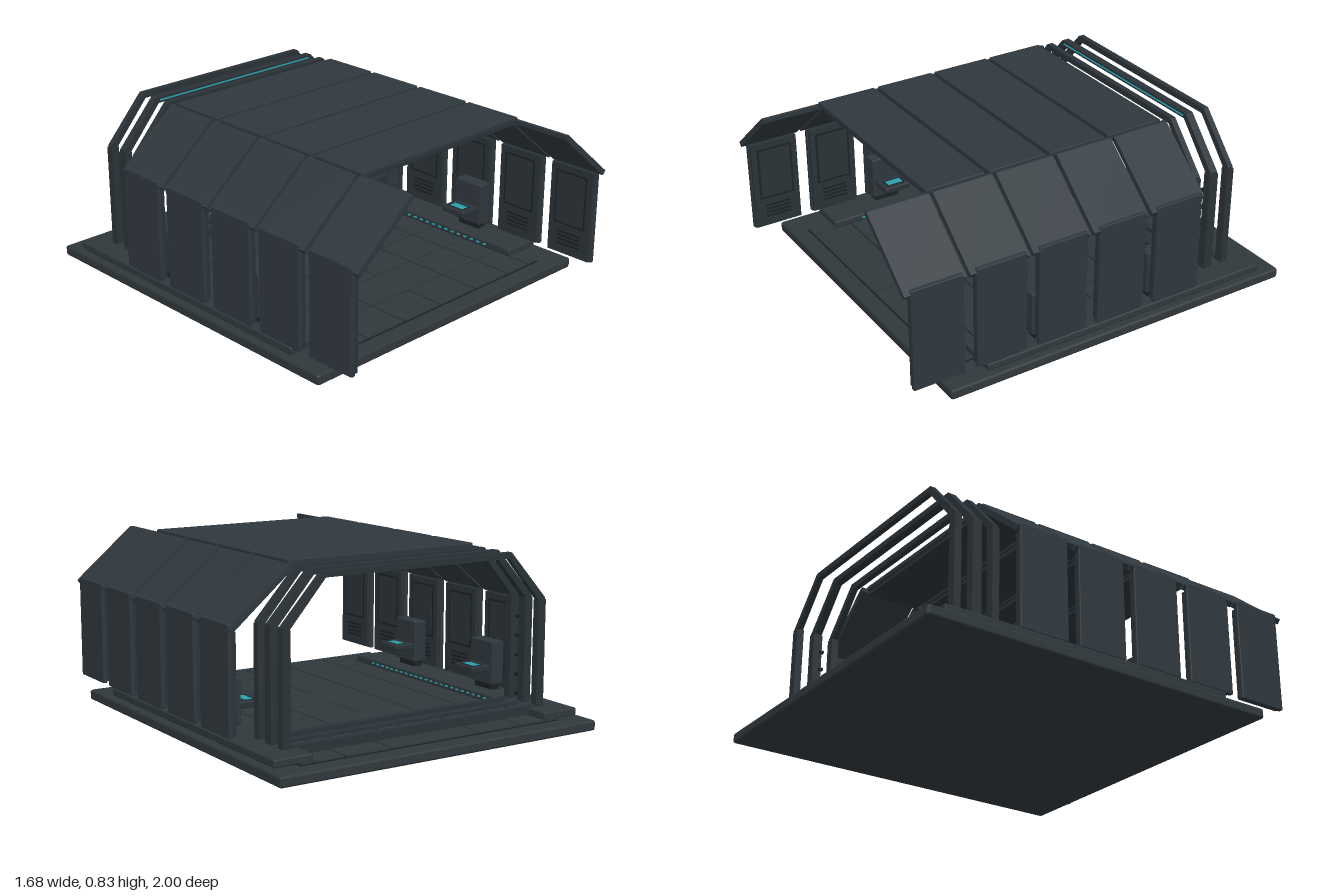
import * as THREE from 'three';
import { RoundedBoxGeometry } from 'three/addons/geometries/RoundedBoxGeometry.js';

const mat = (name, color) => {
  const m = new THREE.MeshStandardMaterial({ color });
  m.name = name;
  return m;
};

export function createModel() {
  const panel = mat('panel slate', 0x2f383e);
  const frame = mat('frame slate', 0x2b3338);
  const deck = mat('deck slate', 0x30383c);
  const dark = mat('dark recess', 0x1b2125);
  const cyan = mat('cyan light', 0x2a9fb0);

  const root = new THREE.Group();
  root.name = 'hangarTunnel';

  const add = (name, geo, m, parent = root) => {
    const mesh = new THREE.Mesh(geo, m);
    mesh.name = name;
    parent.add(mesh);
    return mesh;
  };
  // Box given by its limits on each axis; r adds a small chamfer
  const box = (name, m, x0, x1, y0, y1, z0, z1, r = 0, parent = root) => {
    const s = [Math.abs(x1 - x0), y1 - y0, z1 - z0];
    const geo = r ? new RoundedBoxGeometry(...s, 1, r) : new THREE.BoxGeometry(...s);
    const mesh = add(name, geo, m, parent);
    mesh.position.set((x0 + x1) / 2, (y0 + y1) / 2, (z0 + z1) / 2);
    return mesh;
  };
  // The same box on the left (+x) and right (-x)
  const pair = (name, m, x0, x1, ...rest) => {
    box(name + 'Left', m, x0, x1, ...rest);
    box(name + 'Right', m, -x0, -x1, ...rest);
  };
  // Outline in the xy plane extruded from z0 to z1
  const prism = (name, m, points, z0, z1) => {
    const shape = new THREE.Shape(points.map(p => new THREE.Vector2(...p)));
    const geo = new THREE.ExtrudeGeometry(shape, { depth: z1 - z0, bevelEnabled: false });
    geo.translate(0, 0, z0);
    return add(name, geo, m);
  };
  const mirror = pts => pts.map(([x, y]) => [-x, y]);

  // Base and recessed floor
  box('basePlate', deck, -0.84, 0.84, 0, 0.05, -1, 0.81, 0.012);
  box('floorBed', dark, -0.69, 0.69, 0.045, 0.054, -0.91, 0.73);

  // Floor tiles with seams
  const cols = [-0.69, -0.62, -0.47, -0.235, 0, 0.235, 0.47, 0.62, 0.69];
  const rows = 8, rowLen = 1.64 / rows, gap = 0.004;
  for (let r = 0; r < rows; r++) {
    for (let c = 0; c < cols.length - 1; c++) {
      if (c === 4 && r % 2 === 0) continue;
      const end = c === 3 && r % 2 === 0 ? cols[5] : cols[c + 1];
      const z = -0.91 + r * rowLen;
      box('floorTile', deck, cols[c] + gap, end - gap, 0.05, 0.06, z + gap, z + rowLen - gap);
    }
  }

  // Side ledges with guide lights
  pair('sideLedge', deck, 0.62, 0.81, 0.055, 0.092, -0.9, 0.61, 0.008);
  for (let i = 0; i < 24; i++) {
    const z = -0.52 + i * 0.042;
    pair('guideLight', cyan, 0.612, 0.621, 0.072, 0.078, z, z + 0.016);
  }

  // Side bays: wall plate, inner lining and sloped shoulder
  const slope = [[0.79, 0.548], [0.806, 0.568], [0.508, 0.818], [0.49, 0.818], [0.49, 0.798]];
  for (let i = 0; i < 5; i++) {
    const zc = 0.845 - i * 0.3115;
    const a = zc - 0.125, b = zc + 0.125;
    pair('wallPlate', panel, 0.782, 0.806, 0.092, 0.585, a, b, 0.005);
    pair('wallLining', frame, 0.764, 0.783, 0.1, 0.55, a + 0.006, b - 0.006);
    pair('liningRecess', dark, 0.7625, 0.766, 0.25, 0.52, a + 0.035, b - 0.035);
    pair('liningInset', frame, 0.7605, 0.766, 0.26, 0.51, a + 0.045, b - 0.045);
    for (let s = 0; s < 4; s++) {
      pair('ventSlat', dark, 0.762, 0.766, 0.145 + s * 0.02, 0.155 + s * 0.02, a + 0.06, b - 0.06);
    }
    const z0 = 0.708 - i * 0.3115, z1 = z0 + 0.292;
    prism('shoulderPanelLeft', panel, slope, z0, z1);
    prism('shoulderPanelRight', panel, mirror(slope), z0, z1);
  }

  // Roof panels
  for (let i = 0; i < 4; i++) {
    const z0 = 0.425 - i * 0.3115;
    box('roofPanel', panel, -0.5, 0.5, 0.807, 0.832, z0, z0 + 0.292, 0.005);
    box('roofLining', frame, -0.49, 0.49, 0.79, 0.808, z0 + 0.012, z0 + 0.28);
  }

  // Wall consoles with desk shelves
  for (const z of [0.19, -0.432]) {
    pair('console', panel, 0.69, 0.762, 0.12, 0.33, z, z + 0.165, 0.006);
    pair('consoleFoot', dark, 0.705, 0.755, 0.09, 0.122, z + 0.02, z + 0.145);
    pair('consoleShelf', frame, 0.582, 0.692, 0.186, 0.216, z + 0.012, z + 0.153, 0.006);
    pair('shelfDisplay', cyan, 0.61, 0.65, 0.215, 0.218, z + 0.04, z + 0.12);
    pair('shelfKeys', dark, 0.603, 0.657, 0.214, 0.217, z + 0.03, z + 0.13);
  }

  // Rear portal ribs: closed eight-sided hoops
  const half = [[0.7, 0.055], [0.7, 0.6], [0.5, 0.82]];
  const halfIn = [[0.665, 0.1], [0.665, 0.588], [0.487, 0.792]];
  const hoop = (name, z0, z1) => {
    const loop = h => [...h, ...mirror(h).reverse()].map(p => new THREE.Vector2(...p));
    const shape = new THREE.Shape(loop(half));
    shape.holes.push(new THREE.Path(loop(halfIn)));
    const geo = new THREE.ExtrudeGeometry(shape, { depth: z1 - z0, bevelEnabled: false });
    geo.translate(0, 0, z0);
    add(name, geo, frame);
    pair(name + 'Sleeve', frame, 0.661, 0.703, 0.09, 0.59, z0 - 0.004, z1 + 0.004);
  };
  hoop('frontRib', -0.595, -0.567);
  hoop('middleRib', -0.695, -0.657);
  hoop('backRib', -0.787, -0.76);

  // Light strip on the middle rib and studs on its posts
  box('ribLight', cyan, -0.48, 0.48, 0.803, 0.809, -0.658, -0.652);
  for (let i = 0; i < 5; i++) {
    const y = 0.125 + i * 0.091;
    pair('postStud', dark, 0.648, 0.664, y, y + 0.014, -0.668, -0.648);
  }

  // Threshold between the ribs, with a row of teeth and marker lights
  box('thresholdBed', frame, -0.68, 0.68, 0.055, 0.08, -0.765, -0.56);
  for (let i = 0; i < 11; i++) {
    const x = -0.66 + i * 0.12;
    box('thresholdTooth', deck, x + 0.008, x + 0.112, 0.08, 0.09, -0.75, -0.705);
    box('thresholdLight', cyan, x + 0.045, x + 0.075, 0.089, 0.092, -0.742, -0.738);
  }
  return root;
}
